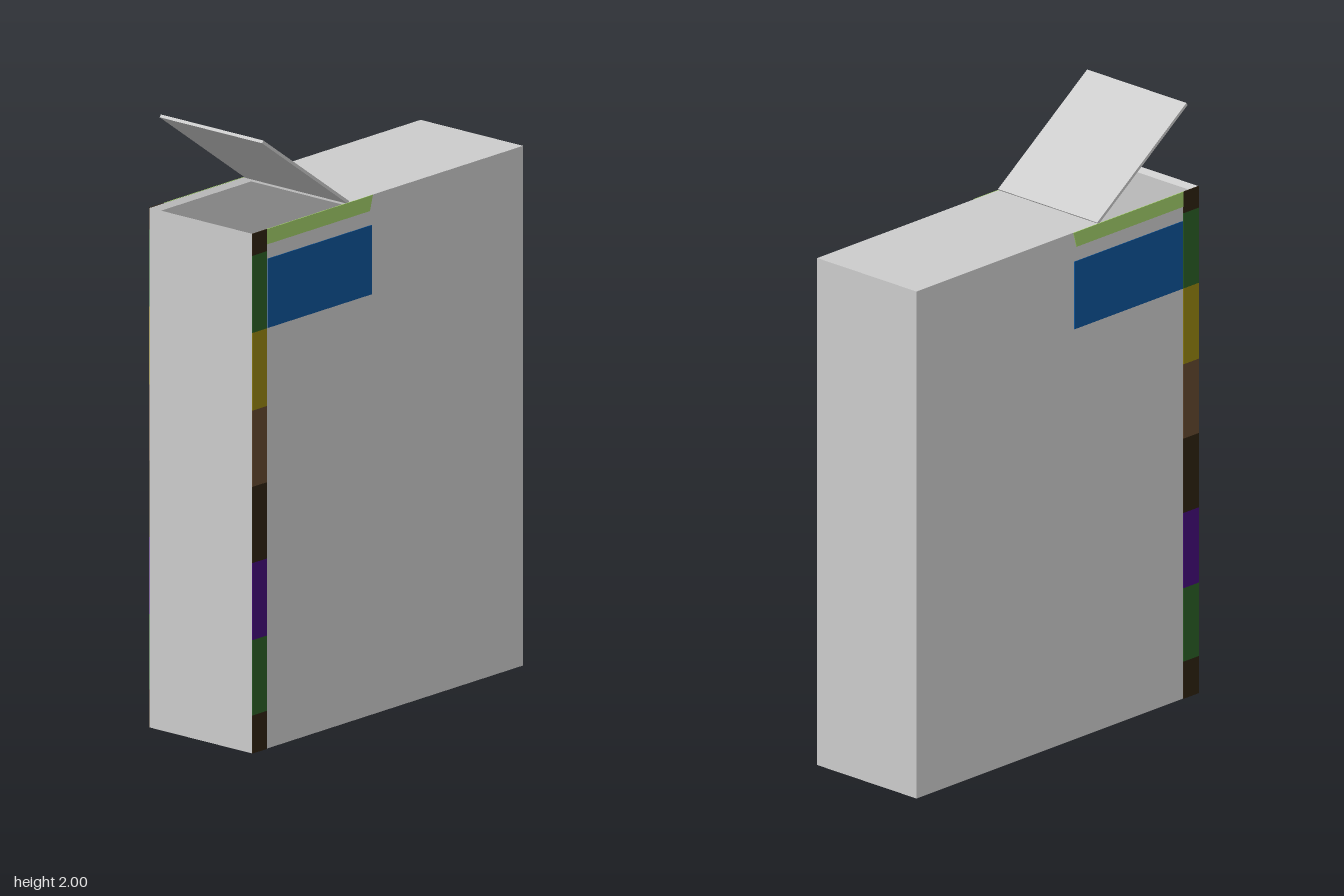
import * as THREE from 'three';

const mat = (name, color) => {
  const m = new THREE.MeshStandardMaterial({ color });
  m.name = name;
  return m;
};

const W = 0.643, H = 1.705, D = 0.215; // half width, height, half depth
const HINGE_X = -0.185;

// Open container: rectangular rings joined from the base, over the rim, down to the inner floor
function containerGeometry() {
  const wall = 0.013;
  const rings = [[0, 0], [0, H], [wall, H - 0.016], [wall, wall]]; // [inset, y]
  const corners = ([i, y]) => [
    [-W + i, y, D - i], [W - i, y, D - i], [W - i, y, -D + i], [-W + i, y, -D + i],
  ];
  const pos = [];
  const quad = (a, b, c, d) => pos.push(...a, ...b, ...c, ...a, ...c, ...d);
  for (let r = 0; r < rings.length - 1; r++) {
    const lo = corners(rings[r]), hi = corners(rings[r + 1]);
    for (let k = 0; k < 4; k++) {
      const n = (k + 1) % 4;
      quad(lo[k], lo[n], hi[n], hi[k]);
    }
  }
  const base = corners(rings[0]);
  quad(base[3], base[2], base[1], base[0]);
  quad(...corners(rings[3]));
  const g = new THREE.BufferGeometry();
  g.setAttribute('position', new THREE.Float32BufferAttribute(pos, 3));
  g.computeVertexNormals();
  return g;
}

export function createModel() {
  const model = new THREE.Group();
  const card = mat('light grey card', 0xcccccc);
  const dark = mat('dark brown', 0x2d2110);
  const green = mat('dark green', 0x2a5e24);
  const olive = mat('olive yellow', 0x95830f);
  const brown = mat('brown', 0x62472e);
  const purple = mat('purple', 0x430a78);
  const blue = mat('blue', 0x0d5296);
  const lime = mat('light green', 0xa0cc68);

  const add = (name, geometry, material, x = 0, y = 0, z = 0) => {
    const mesh = new THREE.Mesh(geometry, material);
    mesh.name = name;
    mesh.position.set(x, y, z);
    model.add(mesh);
    return mesh;
  };

  // Carton with its fixed top panel
  add('carton', containerGeometry(), card);
  const panelW = W - HINGE_X;
  add('topPanel', new THREE.BoxGeometry(panelW, 0.012, 2 * D), card,
    HINGE_X + panelW / 2, H - 0.006, 0);

  // Raised lid, hinged on the top panel
  const tip = [-0.592, 1.995], hinge = [HINGE_X, H];
  const dx = hinge[0] - tip[0], dy = hinge[1] - tip[1];
  const lid = add('lid', new THREE.BoxGeometry(Math.hypot(dx, dy), 0.01, 2 * D), card,
    (tip[0] + hinge[0]) / 2, (tip[1] + hinge[1]) / 2, 0);
  lid.rotation.z = Math.atan2(dy, dx);

  // Painted plates, the same on front and back
  const T = 0.003;
  const plate = (name, material, x0, x1, y0, y1, slant = 0) => {
    const s = new THREE.Shape([
      new THREE.Vector2(x0, y0), new THREE.Vector2(x1 - slant, y0),
      new THREE.Vector2(x1, y1), new THREE.Vector2(x0, y1),
    ]);
    const g = new THREE.ExtrudeGeometry(s, { depth: T, bevelEnabled: false });
    g.translate(0, 0, -T / 2);
    for (const side of [1, -1]) {
      add(name + (side > 0 ? 'Front' : 'Back'), g, material, 0, 0, side * (D + 0.001));
    }
  };

  // Column of coloured blocks along the edge
  const levels = [0, 0.125, 0.372, 0.625, 0.875, 1.125, 1.38, 1.633, H];
  [dark, green, purple, dark, brown, olive, green, dark].forEach((m, i) =>
    plate('edgeBlock' + (i + 1), m, -W, -0.574, levels[i], levels[i + 1]));

  // Blue label and light green top band
  plate('blueLabel', blue, -0.57, -0.077, 1.38, 1.607);
  plate('topBand', lime, -0.574, -0.072, 1.655, H, 0.014);

  return model;
}
